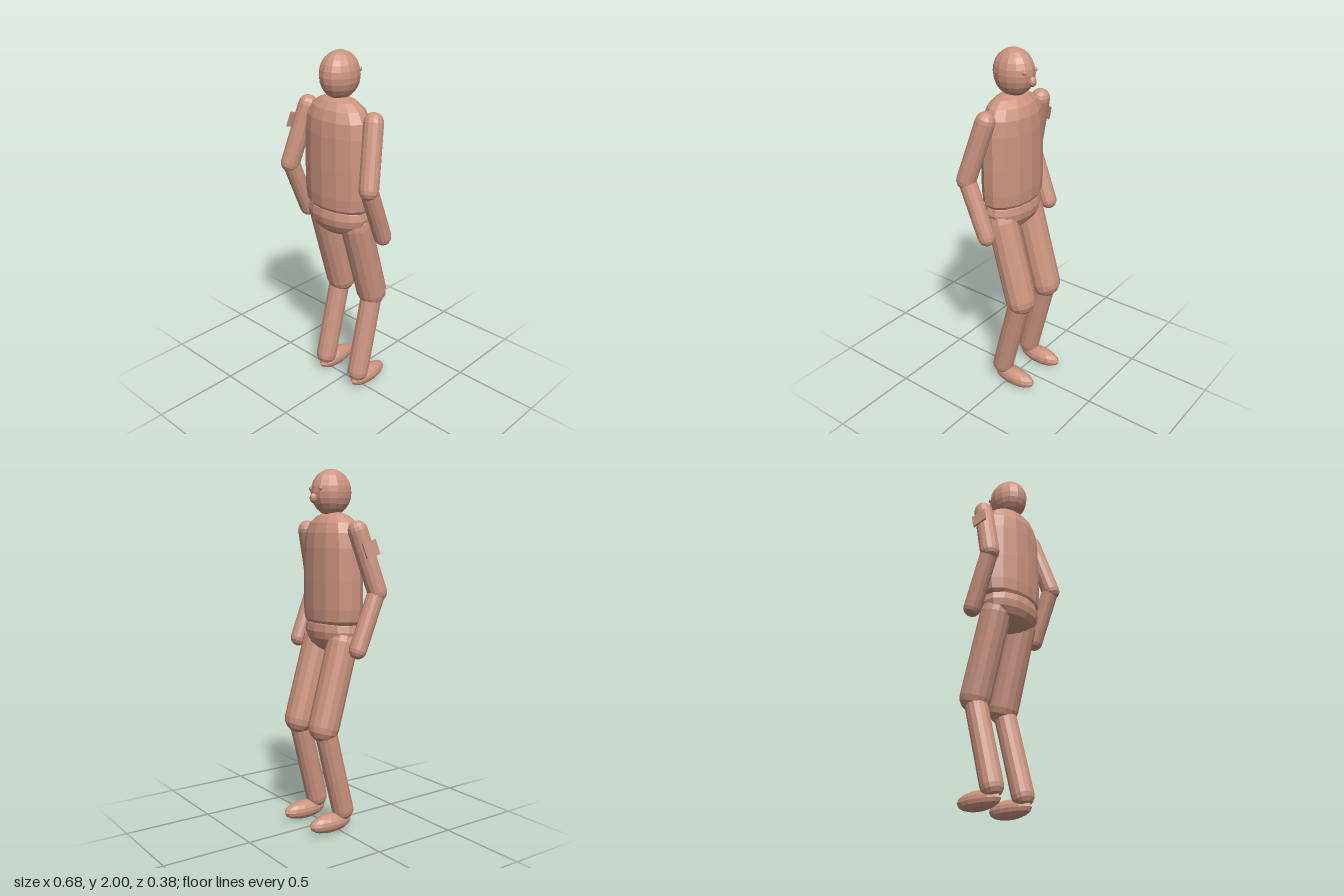
import * as THREE from 'three';

const SIDES = 14;
const skin = new THREE.MeshStandardMaterial({ color: 0xcc9480, flatShading: true });
skin.name = 'skin';

function add(parent, name, geometry) {
  const mesh = new THREE.Mesh(geometry, skin);
  mesh.name = name;
  parent.add(mesh);
  return mesh;
}

// Low-poly ellipsoid with a column of vertices on the z axis
function ellipsoid(parent, name, center, radii, sides = SIDES, rings = 10) {
  const g = new THREE.SphereGeometry(1, sides, rings).rotateY(Math.PI / 2);
  const mesh = add(parent, name, g.scale(...radii));
  mesh.position.set(...center);
  return mesh;
}

// Rotation that carries +y onto the direction from b up to a
function along(a, b) {
  const dir = new THREE.Vector3().subVectors(a, b).normalize();
  return new THREE.Quaternion().setFromUnitVectors(new THREE.Vector3(0, 1, 0), dir);
}

// Capsule between two joint centres
function limb(parent, name, from, to, radius) {
  const a = new THREE.Vector3(...from), b = new THREE.Vector3(...to);
  const mesh = add(parent, name, new THREE.CapsuleGeometry(radius, a.distanceTo(b), 4, SIDES));
  mesh.position.lerpVectors(a, b, 0.5);
  mesh.quaternion.copy(along(a, b));
  return mesh;
}

export function createModel() {
  const model = new THREE.Group();
  model.name = 'figure';

  // Head and face
  const head = new THREE.Group();
  head.name = 'headGroup';
  model.add(head);
  ellipsoid(head, 'head', [0, 1.875, 0.043], [0.099, 0.125, 0.117], SIDES, 12);
  ellipsoid(head, 'nose', [0, 1.843, -0.073], [0.021, 0.027, 0.021], 10, 8);

  // Torso: domed shoulders, flat oval body, slightly drawn-in waist
  const profile = [
    [0, 1.165], [0.19, 1.165], [0.207, 1.185], [0.214, 1.25], [0.215, 1.4], [0.21, 1.58],
    [0.198, 1.66], [0.166, 1.715], [0.115, 1.75], [0.06, 1.768], [0, 1.772],
  ].map(([r, y]) => new THREE.Vector2(r, y));
  const torso = add(model, 'torso', new THREE.LatheGeometry(profile, SIDES).scale(1, 1, 0.605));
  torso.position.z = 0.055;

  // Pelvis bowl
  ellipsoid(model, 'pelvis', [0, 1.125, 0.055], [0.2, 0.125, 0.127]);

  for (const [side, s] of [['left', 1], ['right', -1]]) {
    ellipsoid(head, side + 'Eye', [s * 0.045, 1.893, -0.058], [0.012, 0.012, 0.012], 8, 6);

    // Arm
    limb(model, side + 'UpperArm', [s * 0.235, 1.673, 0.045], [s * 0.29, 1.35, 0.136], 0.053);
    limb(model, side + 'Forearm', [s * 0.288, 1.345, 0.132], [s * 0.283, 1.047, 0.014], 0.048);

    // Leg
    limb(model, side + 'Thigh', [s * 0.115, 1.07, 0.04], [s * 0.12, 0.61, -0.09], 0.086);
    limb(model, side + 'Shin', [s * 0.126, 0.6, -0.088], [s * 0.13, 0.115, 0.032], 0.062);
    ellipsoid(model, side + 'Foot', [s * 0.13, 0.053, -0.052], [0.052, 0.053, 0.138], SIDES, 8);
  }

  // Thin patch on the outside of the right upper arm
  const patch = add(model, 'armPatch', new THREE.BoxGeometry(0.009, 0.082, 0.09));
  patch.position.set(-0.311, 1.578, 0.076);
  patch.quaternion.copy(along(new THREE.Vector3(-0.235, 1.673, 0.045), new THREE.Vector3(-0.29, 1.35, 0.136)));

  return model;
}
